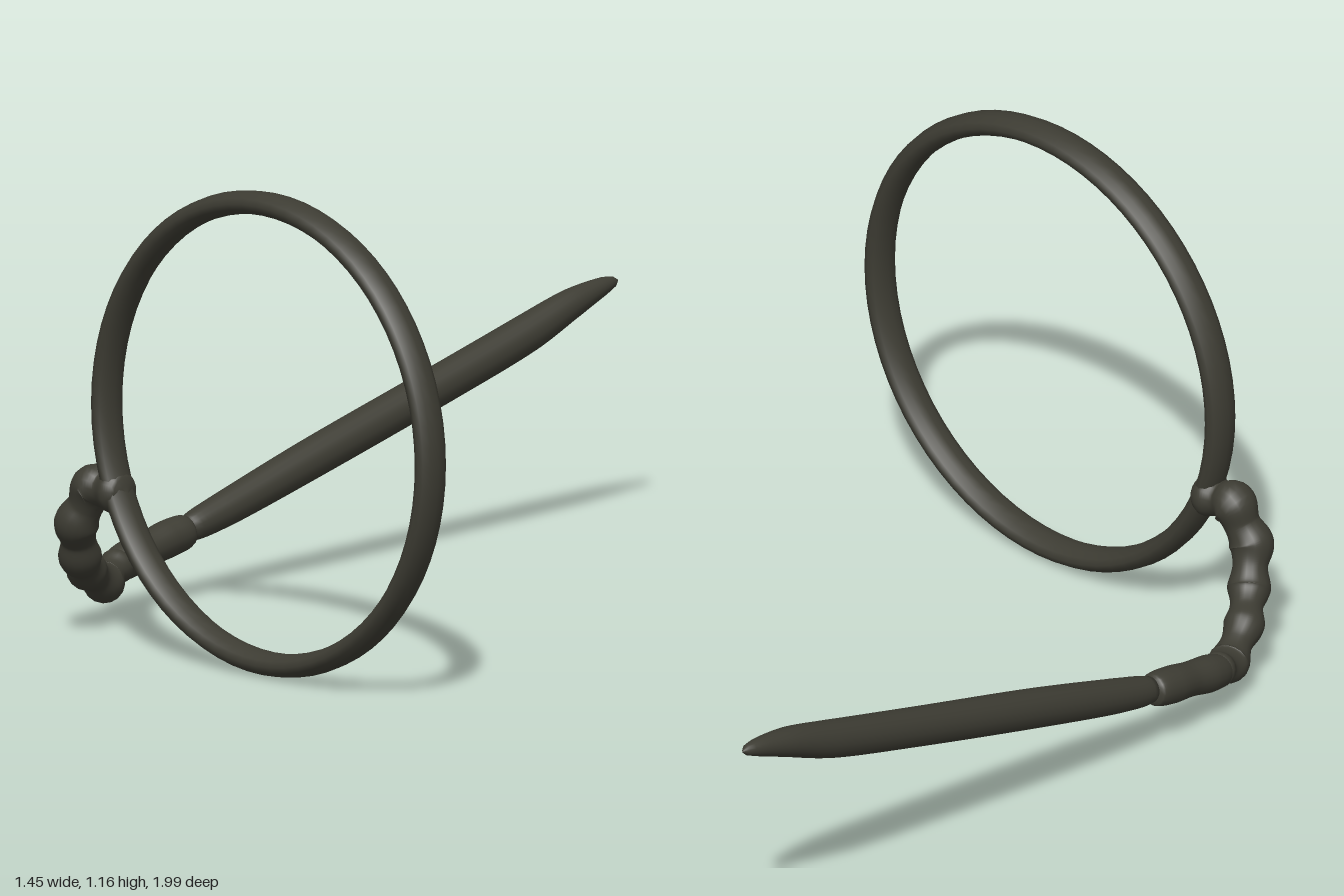
import * as THREE from 'three';
import { mergeVertices } from 'three/addons/utils/BufferGeometryUtils.js';

// Smooth round body along a path of [x, y, z, radius] stations
function taperedTube(stations, steps, sides) {
  const curve = new THREE.CatmullRomCurve3(stations.map(([x, y, z]) => new THREE.Vector3(x, y, z)));
  const radii = new THREE.SplineCurve(stations.map((s, i) => new THREE.Vector2(i, s[3])));
  const tube = new THREE.TubeGeometry(curve, steps, 1, sides, false);
  const pos = tube.attributes.position;
  const v = new THREE.Vector3();
  for (let i = 0; i <= steps; i++) {
    const u = i / steps;
    const centre = curve.getPointAt(u);
    const radius = Math.max(0.0005, radii.getPoint(curve.getUtoTmapping(u)).y);
    for (let j = 0; j <= sides; j++) {
      const k = i * (sides + 1) + j;
      v.fromBufferAttribute(pos, k).sub(centre).multiplyScalar(radius).add(centre);
      pos.setXYZ(k, v.x, v.y, v.z);
    }
  }
  tube.deleteAttribute('uv');
  tube.deleteAttribute('normal');
  const geometry = mergeVertices(tube, 1e-5);
  geometry.computeVertexNormals();
  return geometry;
}

export function createModel() {
  const model = new THREE.Group();
  const darkOlive = new THREE.MeshStandardMaterial({ color: 0x3d3c33 });
  darkOlive.name = 'darkOlive';

  const add = (name, geometry) => {
    const mesh = new THREE.Mesh(geometry, darkOlive);
    mesh.name = name;
    model.add(mesh);
    return mesh;
  };

  // Hoop, deeper than it is thick
  const hoop = add('hoop', new THREE.TorusGeometry(0.552, 0.028, 12, 72).scale(1, 1, 1.55));
  hoop.position.set(0.142, 0.583, 0.923);

  // Long handle with a tapered tip
  add('handle', taperedTube([
    [-0.675, 0.168, 0.415, 0.002],
    [-0.675, 0.171, 0.4, 0.032],
    [-0.675, 0.2, 0.29, 0.042],
    [-0.675, 0.285, 0, 0.048],
    [-0.675, 0.4, -0.4, 0.048],
    [-0.675, 0.49, -0.7, 0.046],
    [-0.675, 0.543, -0.85, 0.036],
    [-0.675, 0.57, -0.95, 0.022],
    [-0.675, 0.577, -0.99, 0.011],
    [-0.675, 0.578, -1, 0.001],
  ], 90, 18));

  // Elongated link between the handle and the beads
  add('handleLink', taperedTube([
    [-0.675, 0.168, 0.395, 0.002],
    [-0.675, 0.166, 0.41, 0.038],
    [-0.675, 0.155, 0.47, 0.045],
    [-0.67, 0.14, 0.54, 0.042],
    [-0.667, 0.125, 0.61, 0.045],
    [-0.66, 0.112, 0.66, 0.036],
    [-0.65, 0.104, 0.69, 0.002],
  ], 60, 18));

  // Beaded chain: each bead is joined to the next by a narrower neck
  const beads = [
    [-0.662, 0.118, 0.645, 0.042],
    [-0.625, 0.092, 0.725, 0.050],
    [-0.585, 0.14, 0.82, 0.049],
    [-0.535, 0.19, 0.89, 0.052],
    [-0.502, 0.28, 0.933, 0.054],
    [-0.45, 0.372, 0.925, 0.056],
    [-0.38, 0.372, 0.922, 0.054],
  ];
  const chain = [[-0.675, 0.13, 0.61, 0.002]];
  beads.forEach((b, i) => {
    chain.push(b);
    const next = beads[i + 1];
    if (next) chain.push([0, 1, 2, 3].map(k => (b[k] + next[k]) / 2 - (k === 3 ? 0.011 : 0)));
  });
  chain.push([-0.35, 0.372, 0.922, 0.038], [-0.338, 0.372, 0.922, 0.001]);
  add('beadedChain', taperedTube(chain, 120, 18));

  return model;
}
